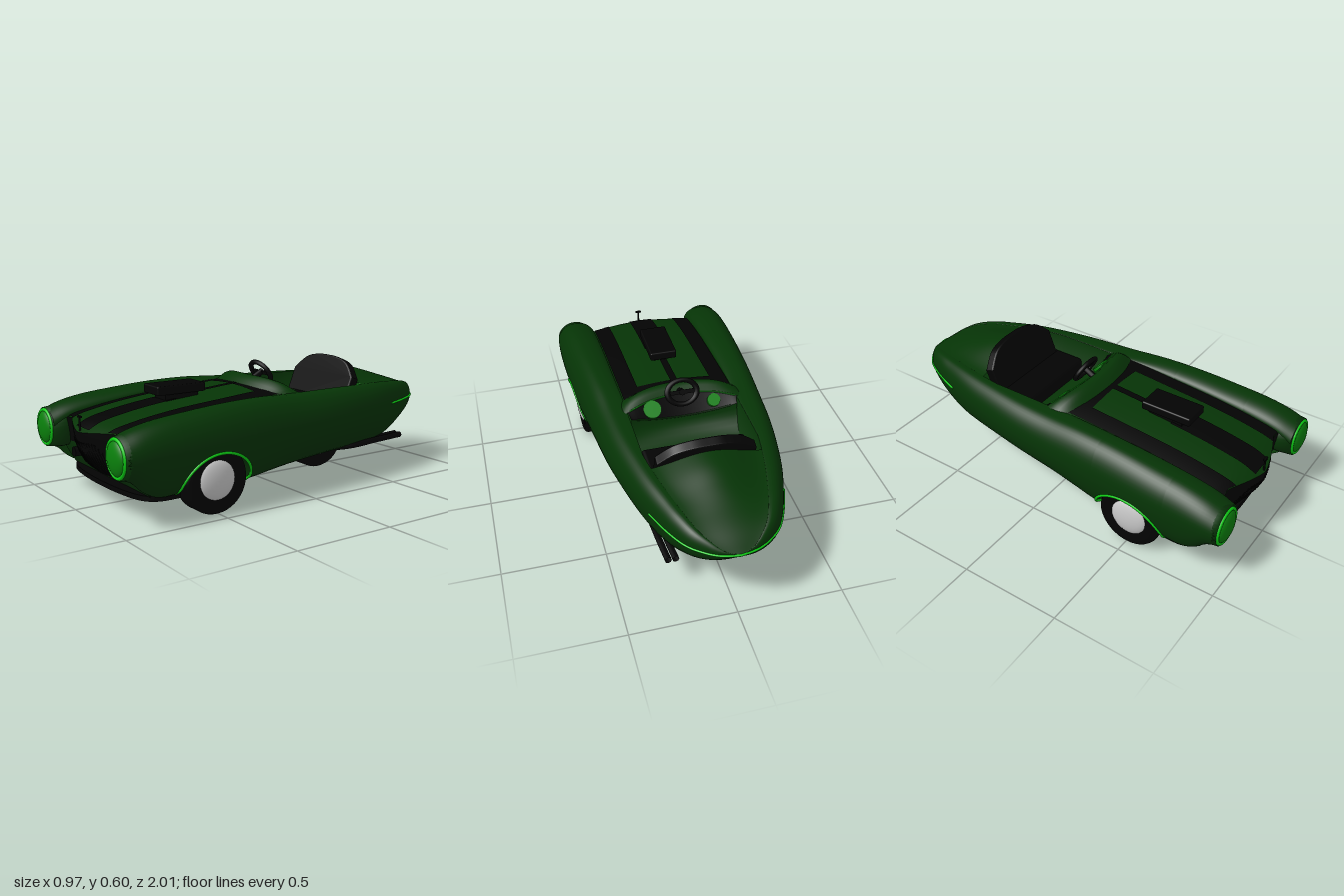
import * as THREE from 'three';
import { RoundedBoxGeometry } from 'three/addons/geometries/RoundedBoxGeometry.js';

const mat = (color) => new THREE.MeshStandardMaterial({ color, side: THREE.DoubleSide });
const GREEN = mat(0x063406), BRIGHT = mat(0x0cc814), LENS = mat(0x0a800c), BLACK = mat(0x030303), GREY = mat(0xcccccc);

// smooth curve through [z, value] pairs
const curve = (...keys) => {
  const c = new THREE.CubicInterpolant(keys.map((k) => k[0]), keys.map((k) => k[1]), 1);
  return (z) => c.evaluate(z)[0];
};
const halfWidth = curve([-1, 0.002], [-0.99, 0.06], [-0.97, 0.11], [-0.94, 0.155], [-0.9, 0.2], [-0.8, 0.26], [-0.7, 0.3],
  [-0.55, 0.35], [-0.4, 0.385], [-0.2, 0.42], [0, 0.44], [0.4, 0.47], [0.8, 0.486], [0.9, 0.484], [0.97, 0.476]);
const topY = curve([-1, 0.365], [-0.95, 0.402], [-0.9, 0.427], [-0.8, 0.45], [-0.7, 0.46], [-0.6, 0.468], [-0.4, 0.475],
  [0, 0.48], [0.2, 0.49], [0.4, 0.487], [0.6, 0.473], [0.8, 0.452], [0.9, 0.43], [0.97, 0.405]);
const widestY = curve([-1, 0.362], [-0.65, 0.358], [0, 0.335], [0.97, 0.315]);
const bottomY = curve([-1, 0.36], [-0.95, 0.3], [-0.9, 0.258], [-0.8, 0.192], [-0.7, 0.14], [-0.62, 0.122], [-0.5, 0.12],
  [0.7, 0.12], [0.8, 0.122], [0.87, 0.16], [0.91, 0.2], [0.97, 0.225]);
const tuck = curve([-1, 0.3], [-0.6, 0.32], [-0.3, 0.34], [0, 0.5], [0.3, 0.75], [0.5, 0.8], [0.97, 0.8]);
const innerEdgeY = curve([-1, 0.365], [-0.95, 0.4], [-0.9, 0.424], [-0.8, 0.448], [-0.7, 0.458], [-0.5, 0.47], [-0.06, 0.472],
  [0.1, 0.47], [0.3, 0.455], [0.6, 0.428], [0.8, 0.397], [0.9, 0.372], [0.97, 0.335]);
const hump = curve([-1, 0], [-0.8, 0.018], [-0.7, 0.04], [-0.6, 0.06], [-0.49, 0.068]);
const innerX = (z) => Math.min(0.28, 0.72 * halfWidth(z));
const archY = (z) => 0.12 + 0.17 * Math.sqrt(Math.max(0, 1 - ((z - 0.51) / 0.195) ** 2));
const lowerX = (y, z) => {
  const b = bottomY(z), m = widestY(z), k = Math.min(1, Math.max(0, (m - y) / Math.max(0.001, m - b)));
  return halfWidth(z) * (tuck(z) + (1 - tuck(z)) * Math.sqrt(1 - k * k));
};
const hoodY = (x, z) => innerEdgeY(z) + 0.025 * (1 - (x / 0.28) ** 2);
const noseZ = (x) => 0.972 - 0.072 * Math.min(1, Math.abs(x) / 0.23) ** 1.4;
const lerp = THREE.MathUtils.lerp;
const WELL = 0.31, REAR_WELL = 0.12;

export function createModel() {
  const car = new THREE.Group();
  const add = (name, geo, material, x = 0, y = 0, z = 0, parent = car) => {
    const m = new THREE.Mesh(geo, material);
    m.name = name;
    m.position.set(x, y, z);
    parent.add(m);
    return m;
  };
  // surface from a rule f(u, v) -> [x, y, z]
  const grid = (nu, nv, f) => {
    const g = new THREE.PlaneGeometry(1, 1, nu, nv), p = g.attributes.position, uv = g.attributes.uv;
    for (let i = 0; i < p.count; i++) p.setXYZ(i, ...f(uv.getX(i), uv.getY(i)));
    g.computeVertexNormals();
    return g;
  };
  const tube = (pts, r, seg = 40) =>
    new THREE.TubeGeometry(new THREE.CatmullRomCurve3(pts.map((p) => new THREE.Vector3(...p))), seg, r, 8);

  // side skins, wrapping from the floor edge over the fender to the hood edge
  const zs = [0.314, 0.316, 0.704, 0.706, 0.97, -0.995];
  for (let i = 0; i < 99; i++) zs.push(-1 + i * 0.02);
  zs.sort((a, b) => a - b);
  const skin = (s) => grid(36, zs.length - 1, (u, v) => {
    const z = zs[Math.round(v * (zs.length - 1))], w = halfWidth(z), m = widestY(z), t = topY(z), xt = 0.79 * w;
    const k = u * 3;
    if (k <= 1) {
      const inArch = Math.abs(z - 0.51) < 0.195;
      const y = lerp(inArch ? archY(z) : bottomY(z), m, 1 - Math.cos(k * Math.PI / 2));
      return [s * lowerX(y, z), y, z];
    }
    if (k <= 2) {
      const a = (k - 1) * Math.PI / 2;
      return [s * (xt + (w - xt) * Math.cos(a)), m + (t - m) * Math.sin(a), z];
    }
    const a = (k - 2) * Math.PI / 2, yi = innerEdgeY(z);
    return [s * (xt - (xt - innerX(z)) * Math.sin(a)), yi + (t - yi) * Math.cos(a), z];
  });

  // floor strips leaving the wheel wells open
  const floor = (a, b, z0, z1) => add('floor', grid(2, 50, (u, v) => {
    const z = lerp(z0, z1, v), e = halfWidth(z) * tuck(z);
    return [THREE.MathUtils.clamp(lerp(a, b, u), -e, e), bottomY(z), z];
  }), GREEN);
  floor(-REAR_WELL, REAR_WELL, -1, -0.55);
  floor(-REAR_WELL, REAR_WELL, -0.21, 0.82);

  // wheel with rounded tyre and domed hubs on the given sides
  const wheel = (name, x, z, hubSides) => {
    const g = new THREE.Group();
    g.name = name;
    g.position.set(x, 0.16, z);
    car.add(g);
    const prof = [[0.001, -0.05], [0.09, -0.055], [0.125, -0.06], [0.142, -0.059], [0.154, -0.053], [0.16, -0.04]];
    const ring = [...prof, ...prof.map(([r, w]) => [r, -w]).reverse()].map((p) => new THREE.Vector2(...p));
    add('tyre', new THREE.LatheGeometry(ring, 40), BLACK, 0, 0, 0, g).rotation.z = Math.PI / 2;
    for (const s of hubSides) add('hub', new THREE.SphereGeometry(0.097, 28, 16), GREY, s * 0.045, 0, 0, g).scale.x = 0.32;
  };
  wheel('rearWheel', 0, -0.38, [-1, 1]);
  const rearWell = add('rearWheelWell', new THREE.CylinderGeometry(0.17, 0.17, REAR_WELL * 2, 28, 1, false, 0, Math.PI), GREEN, 0, 0.122, -0.38);
  rearWell.rotation.z = Math.PI / 2;

  for (const s of [-1, 1]) {
    const side = s > 0 ? 'left' : 'right';
    add(side + 'BodySide', skin(s), GREEN);
    floor(s * REAR_WELL, s * WELL, -1, 0.82);
    floor(s * WELL, s * 0.5, -1, 0.315);
    floor(s * WELL, s * 0.5, 0.705, 0.82);
    wheel(side + 'FrontWheel', s * 0.38, 0.51, [s]);
    // arch liner and lip
    const arch = (a) => [0.12 + 0.17 * Math.sin(a), 0.51 - 0.195 * Math.cos(a)];
    add(side + 'FrontWheelWell', grid(2, 32, (u, v) => {
      const [y, z] = arch(v * Math.PI);
      if (u < 0.25) return [s * WELL, 0.12, 0.51];
      return [s * (u < 0.75 ? WELL : lowerX(y, z)), y, z];
    }), GREEN);
    const lip = [];
    for (let i = 0; i <= 20; i++) {
      const [y, z] = arch(i / 20 * Math.PI);
      lip.push([s * lowerX(y, z), y, z]);
    }
    add(side + 'ArchLip', tube(lip, 0.007), BRIGHT);
    // headlight pod, ring and lens
    const pod = [[0, 0.7], [0.06, 0.73], [0.095, 0.8], [0.104, 0.9], [0.096, 0.972], [0, 0.972]].map((p) => new THREE.Vector2(...p));
    add(side + 'HeadlightPod', new THREE.LatheGeometry(pod, 36), GREEN, s * 0.38, 0.315, 0).rotation.x = Math.PI / 2;
    add(side + 'HeadlightRing', new THREE.TorusGeometry(0.083, 0.009, 10, 40), BRIGHT, s * 0.38, 0.315, 0.973);
    add(side + 'HeadlightLens', new THREE.SphereGeometry(0.08, 32, 16), LENS, s * 0.38, 0.315, 0.97).scale.z = 0.37;
  }

  // hood, stripes and rear deck
  const hood = (name, x0, x1, z0, z1, lift, material) => add(name, grid(24, 40, (u, v) => {
    const x = lerp(x0, x1, u), end = Math.min(z1, noseZ(x)), z = lerp(z0 - 0.06 * (x / 0.28) ** 2, end, v);
    return [x, hoodY(x, z) + lift, z];
  }), material);
  hood('hood', -0.28, 0.28, 0.1, 1, 0, GREEN);
  hood('hoodRearBand', -0.272, 0.272, 0.1, 0.14, 0.004, BLACK);
  for (const s of [-1, 1]) hood('hoodStripe', s * 0.19, s * 0.276, 0.1, 1, 0.005, BLACK);
  hood('centreStripe', -0.065, 0.065, 0.5, 0.95, 0.006, BLACK);
  hood('hoodSpine', -0.018, 0.018, 0.12, 0.5, 0.008, BLACK);
  add('rearDeck', grid(24, 40, (u, v) => {
    const z = lerp(-1, -0.48, v), k = u * 2 - 1;
    return [k * innerX(z), innerEdgeY(z) + hump(z) * (1 - k * k) ** 2, z];
  }), GREEN);

  // scoop and small hood ornament
  add('scoop', new RoundedBoxGeometry(0.14, 0.043, 0.26, 2, 0.007), BLACK, 0, 0.513, 0.47);
  add('scoopNeck', new THREE.BoxGeometry(0.1, 0.09, 0.18), BLACK, 0, 0.46, 0.46);
  add('ornamentPost', new THREE.CylinderGeometry(0.004, 0.006, 0.075, 8), BLACK, 0, 0.393, 0.962);
  add('ornamentBar', new THREE.BoxGeometry(0.03, 0.008, 0.012), BLACK, 0, 0.428, 0.962);

  // nose face with grille and small lamps
  const nose = (x, v, lift = 0) => {
    const z0 = noseZ(x);
    return [x, lerp(hoodY(x, z0), 0.12, v), z0 - (z0 - 0.82) * v * v + lift];
  };
  const noseV = 0.48;
  add('nosePanelUpper', grid(40, 8, (u, v) => nose(lerp(-0.385, 0.385, u), v * noseV)), BLACK);
  add('nosePanelLower', grid(40, 10, (u, v) => nose(lerp(-0.385, 0.385, u), lerp(noseV, 1, v))), GREEN);
  const grilleTop = 0.2, grilleEnd = 0.87;
  const grilleHalf = (v) => 0.2 * Math.min(1, 0.5 + 1.3 * (v - grilleTop));
  add('grille', grid(30, 12, (u, v) => {
    const w = lerp(grilleTop, grilleEnd, v), k = u * 2 - 1;
    return nose(k * grilleHalf(w), w - 0.05 * k * k * v, 0.004);
  }), BLACK);
  for (let i = -11; i <= 11; i++) {
    const x = i * 0.0175, k = Math.abs(x) / 0.2, v0 = Math.max(grilleTop, grilleTop + (k - 0.5) / 1.3);
    add('grilleBar', tube([0, 0.5, 1].map((t) => nose(x, lerp(v0, grilleEnd - 0.05 * k * k, t), 0.003)), 0.004, 8), BLACK);
  }
  for (const s of [-1, 1]) {
    const [x, y, z] = nose(s * 0.25, 0.67);
    add('noseLamp', new THREE.CylinderGeometry(0.024, 0.024, 0.05, 24), BLACK, x, y, z).rotation.x = Math.PI / 2;
  }

  // front bumper blade
  const blade = new THREE.Shape();
  blade.moveTo(-0.4, 0.68);
  blade.splineThru([[-0.395, 0.78], [-0.34, 0.84], [-0.2, 0.87], [0, 0.88], [0.2, 0.87], [0.34, 0.84], [0.395, 0.78], [0.4, 0.68]].map((p) => new THREE.Vector2(...p)));
  blade.lineTo(0.35, 0.68);
  blade.splineThru([[0.33, 0.75], [0.2, 0.79], [0, 0.8], [-0.2, 0.79], [-0.33, 0.75], [-0.35, 0.68]].map((p) => new THREE.Vector2(...p)));
  add('bumper', new THREE.ExtrudeGeometry(blade, { depth: 0.024, bevelEnabled: false }), BLACK, 0, 0.124, 0).rotation.x = Math.PI / 2;

  // cockpit tub
  add('cockpitTub', grid(3, 24, (u, v) => {
    const z = lerp(-0.52, 0.06, v), k = Math.round(u * 3), x = innerX(z);
    return [[-x, -x + 0.02, x - 0.02, x][k], k % 3 ? 0.31 : innerEdgeY(z), z];
  }), GREEN);

  // cowl and dashboard, both bowed across the car, with a footwell panel below
  const cowl = [[0.12, 0], [0.095, 0.5], [0.07, 0.92], [0.05, 1], [0.025, 0.85], [0, 0.35]];
  const bow = (k) => 0.06 * k * k;
  const cowlPoint = (k, i) => [k * 0.3, lerp(hoodY(k * 0.28, 0.1) - 0.003, 0.478 + 0.06 * (1 - k ** 4), cowl[i][1]), cowl[i][0] - bow(k)];
  const dashBottom = (k) => [k * 0.27, 0.455 - 0.04 * (1 - k * k), -0.065 - 0.02 * k * k];
  add('cowl', grid(30, 5, (u, v) => cowlPoint(u * 2 - 1, Math.round(v * 5))), GREEN);
  add('dashboard', grid(30, 1, (u, v) => {
    const k = u * 2 - 1;
    return v > 0.5 ? cowlPoint(k * 0.93, 5) : dashBottom(k);
  }), BLACK);
  add('footwellPanel', grid(30, 8, (u, v) => {
    const [x, y, z] = dashBottom(u * 2 - 1);
    return [x, lerp(y, 0.312, Math.sin(v * Math.PI / 2)), lerp(z, -0.24, 1 - Math.cos(v * Math.PI / 2))];
  }), GREEN);
  const ks = [-0.9, -0.6, -0.3, 0, 0.3, 0.6, 0.9];
  add('dashTrim', tube(ks.map((k) => cowlPoint(k, 5)), 0.004), LENS);
  add('dashLowerTrim', tube(ks.map(dashBottom), 0.004), GREEN);
  for (const [x, r] of [[0.155, 0.045], [-0.16, 0.033]])
    add('gauge', new THREE.CylinderGeometry(r, r, 0.02, 28), LENS, x, 0.468, -0.045).rotation.x = -0.75;

  // steering wheel
  const steering = new THREE.Group();
  steering.name = 'steeringWheel';
  steering.position.set(0, 0.54, -0.035);
  steering.rotation.x = 0.5;
  car.add(steering);
  add('rim', new THREE.TorusGeometry(0.06, 0.012, 10, 32), BLACK, 0, 0, 0, steering).scale.x = 1.25;
  add('spokes', new THREE.BoxGeometry(0.13, 0.02, 0.008), BLACK, 0, 0, 0, steering);
  add('column', new THREE.CylinderGeometry(0.016, 0.016, 0.12, 12), BLACK, 0, 0, 0.05, steering).rotation.x = Math.PI / 2;

  // seat cushion and leaning backrest
  add('seatCushion', new RoundedBoxGeometry(0.52, 0.1, 0.24, 3, 0.02), BLACK, 0, 0.34, -0.355);
  const back = new THREE.Shape();
  back.moveTo(-0.23, 0);
  back.lineTo(0.23, 0);
  back.lineTo(0.23, 0.18);
  back.splineThru([[0.16, 0.245], [0.08, 0.268], [0, 0.272], [-0.08, 0.268], [-0.16, 0.245], [-0.23, 0.18]].map((p) => new THREE.Vector2(...p)));
  const backrest = new THREE.ExtrudeGeometry(back, { depth: 0.035, bevelThickness: 0.008, bevelSize: 0.008, bevelSegments: 3 });
  add('backrest', backrest, BLACK, 0, 0.32, -0.41).rotation.x = -0.38;

  // tail trim and exhaust pipes on the left
  const trim = [];
  for (let i = -12; i <= 12; i++) {
    const z = -1 + 0.35 * (i / 12) ** 2;
    trim.push([Math.sign(i) * halfWidth(z), widestY(z), z]);
  }
  add('tailTrim', tube(trim, 0.006, 80), BRIGHT);
  for (const x of [0.235, 0.27])
    add('exhaustPipe', tube([[x - 0.03, 0.15, -0.34], [x, 0.155, -0.42], [x, 0.163, -0.6], [x - 0.01, 0.166, -0.77]], 0.016), BLACK);

  return car;
}
